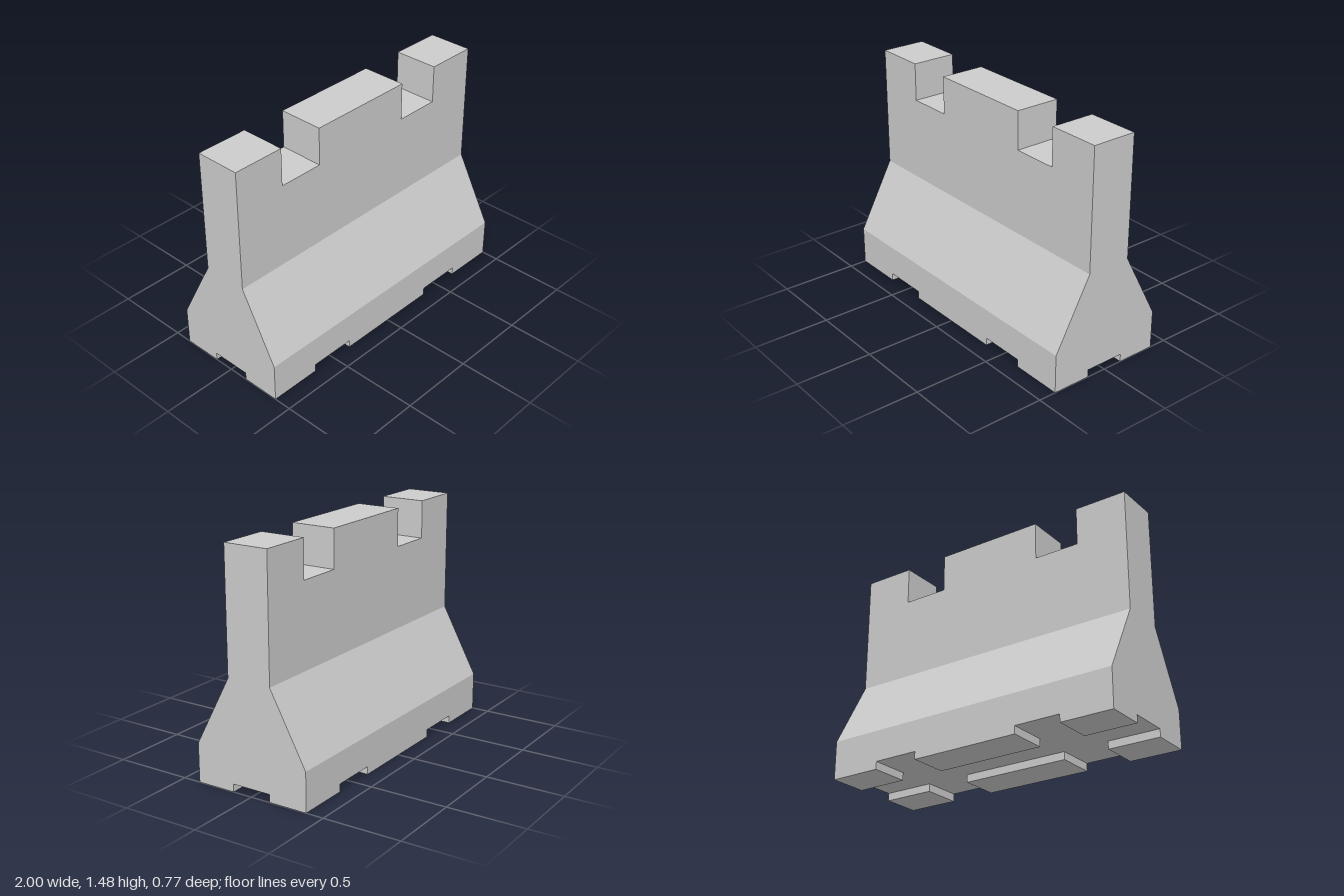
import * as THREE from 'three';

const material = new THREE.MeshStandardMaterial({ color: 0xcccccc, flatShading: true });
const NOTCH_IN = 0.36, NOTCH_OUT = 0.66;
const WALL_Z = 0.147, BASE_Z = 0.385, CHANNEL_Z = 0.13;
const BASE_TOP = 0.25, FLARE_TOP = 0.695;

// Extrudes an outline of [x, y] points along z, centred on z = 0
function extrude(name, points, depth) {
  const shape = new THREE.Shape(points.map(([x, y]) => new THREE.Vector2(x, y)));
  const geometry = new THREE.ExtrudeGeometry(shape, { depth, bevelEnabled: false });
  geometry.translate(0, 0, -depth / 2);
  const mesh = new THREE.Mesh(geometry, material);
  mesh.name = name;
  return mesh;
}

// Full-length outline with one straight edge and one edge cut by two notches
function notchedOutline(straightY, edgeY, notchY) {
  const half = [[NOTCH_IN, edgeY], [NOTCH_IN, notchY], [NOTCH_OUT, notchY], [NOTCH_OUT, edgeY], [1, edgeY], [1, straightY]];
  return [...half, ...half.map(([x, y]) => [-x, y]).reverse()];
}

export function createModel() {
  const model = new THREE.Group();
  model.name = 'concreteBarrier';

  // Upright wall with two notches in its top edge
  model.add(extrude('upperWall', notchedOutline(FLARE_TOP, 1.48, 1.235), WALL_Z * 2));

  // Sloped flare, with the core above the lengthwise channel
  const side = [[CHANNEL_Z, 0.05], [CHANNEL_Z, BASE_TOP], [BASE_Z, BASE_TOP], [WALL_Z, FLARE_TOP]];
  const flare = extrude('slopedFlare', [...side, ...side.map(([z, y]) => [-z, y]).reverse()], 2);
  flare.rotation.y = Math.PI / 2;
  model.add(flare);

  // Base rails, notched underneath to leave three feet on each side
  for (const [name, sign] of [['frontBase', 1], ['backBase', -1]]) {
    const rail = extrude(name, notchedOutline(BASE_TOP, 0, 0.05), BASE_Z - CHANNEL_Z);
    rail.position.z = sign * (BASE_Z + CHANNEL_Z) / 2;
    model.add(rail);
  }
  return model;
}
